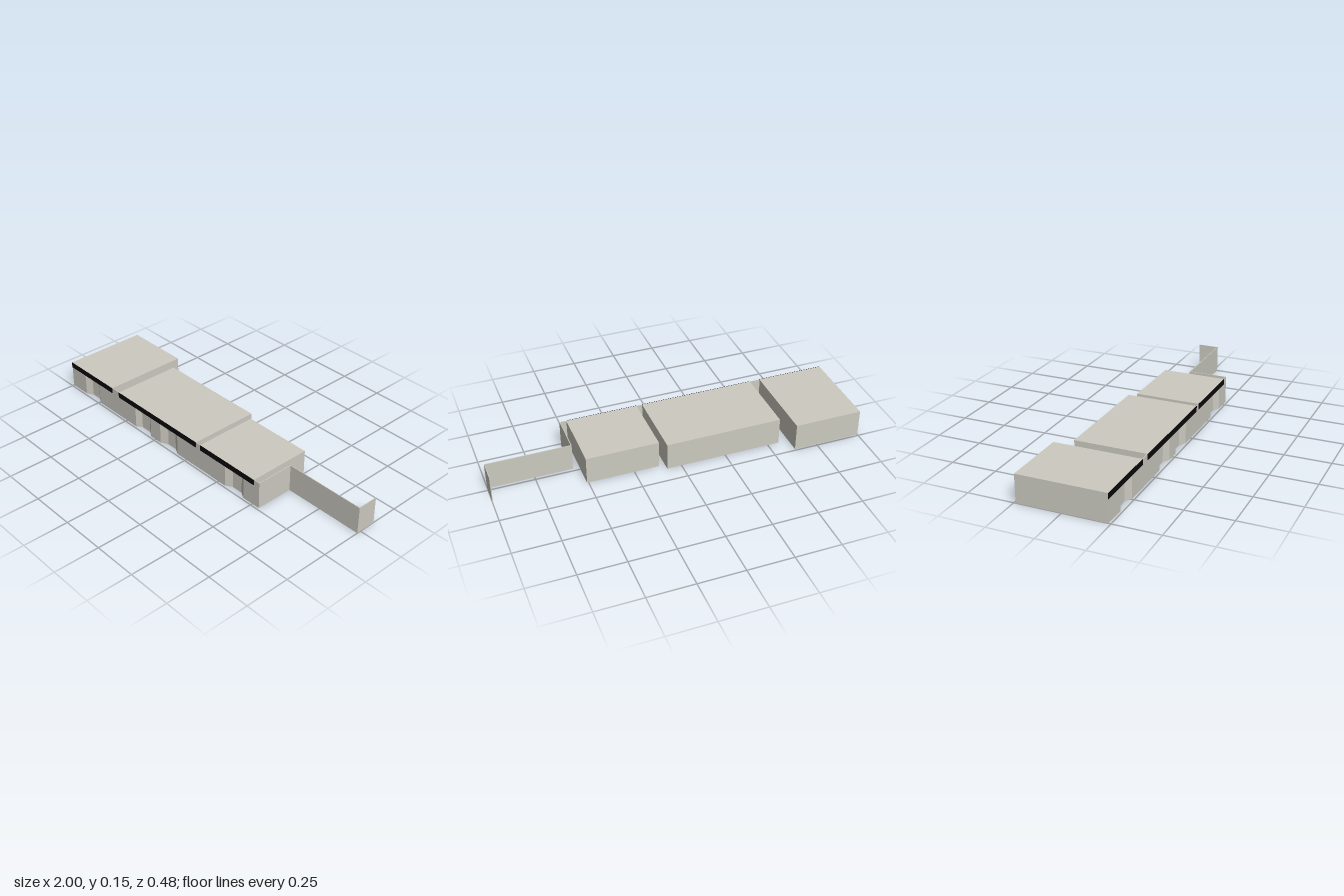
import * as THREE from 'three';

const HEIGHT = 0.153, SIGN_Y = 0.122, FRONT = 0.238, BACK_DOOR = 0.022, T = 0.004;

export function createModel() {
  const group = new THREE.Group();
  const stone = new THREE.MeshStandardMaterial({ color: 0xcccac0 });
  stone.name = 'pale stone';
  const black = new THREE.MeshStandardMaterial({ color: 0x0a0a0a });
  black.name = 'black';

  const add = (name, geometry, material) => {
    const mesh = new THREE.Mesh(geometry, material);
    mesh.name = name;
    group.add(mesh);
    return mesh;
  };
  // Box given by its minimum and maximum corners
  const box = (name, material, x0, x1, y0, y1, z0, z1) =>
    add(name, new THREE.BoxGeometry(x1 - x0, y1 - y0, z1 - z0), material)
      .position.set((x0 + x1) / 2, (y0 + y1) / 2, (z0 + z1) / 2);

  // Shop blocks: doors list the outer and inner edges of each splayed entrance
  const shops = [
    { name: 'cornerShop', x0: -1, x1: -0.622, back: -0.24,
      doors: [[-0.875, -0.84, -0.78, -0.745]] },
    { name: 'doubleShop', x0: -0.563, x1: 0.08, back: -0.156,
      doors: [[-0.42, -0.39, -0.325, -0.29], [-0.21, -0.17, -0.11, -0.07]] },
    { name: 'smallShop', x0: 0.112, x1: 0.508, back: -0.12,
      doors: [[0.3, 0.335, 0.4, 0.435]] },
  ];

  for (const { name, x0, x1, back, doors } of shops) {
    // Ground floor plan with an entrance notched into the front
    const plan = new THREE.Shape();
    plan.moveTo(x0, -FRONT);
    for (const [a, b, c, d] of doors) {
      plan.lineTo(a, -FRONT);
      plan.lineTo(b, -FRONT + BACK_DOOR);
      plan.lineTo(c, -FRONT + BACK_DOOR);
      plan.lineTo(d, -FRONT);
    }
    plan.lineTo(x1, -FRONT);
    plan.lineTo(x1, -back);
    plan.lineTo(x0, -back);
    plan.closePath();
    const body = new THREE.ExtrudeGeometry(plan, { depth: SIGN_Y, bevelEnabled: false });
    body.rotateX(-Math.PI / 2);
    add(name + 'Walls', body, stone);

    box(name + 'Roof', stone, x0, x1, SIGN_Y, HEIGHT, back, FRONT);
    box(name + 'Fascia', black, x0, x1, SIGN_Y, HEIGHT, FRONT, FRONT + 0.002);
  }

  // Thin walls closing the gaps between the shops
  for (const [x0, x1] of [[-0.622, -0.563], [0.08, 0.112], [0.508, 0.546]])
    box('gapWall', stone, x0, x1, 0, HEIGHT, FRONT - T, FRONT);

  // Stepped boundary wall at the far end
  box('sideWall', stone, 0.546 - T, 0.546, 0, HEIGHT, 0.018, FRONT - T);
  box('boundaryWall', stone, 0.546, 1, 0, HEIGHT, 0.018, 0.018 + T);
  box('returnWall', stone, 1 - T, 1, 0, HEIGHT, -0.095, 0.018);

  return group;
}
